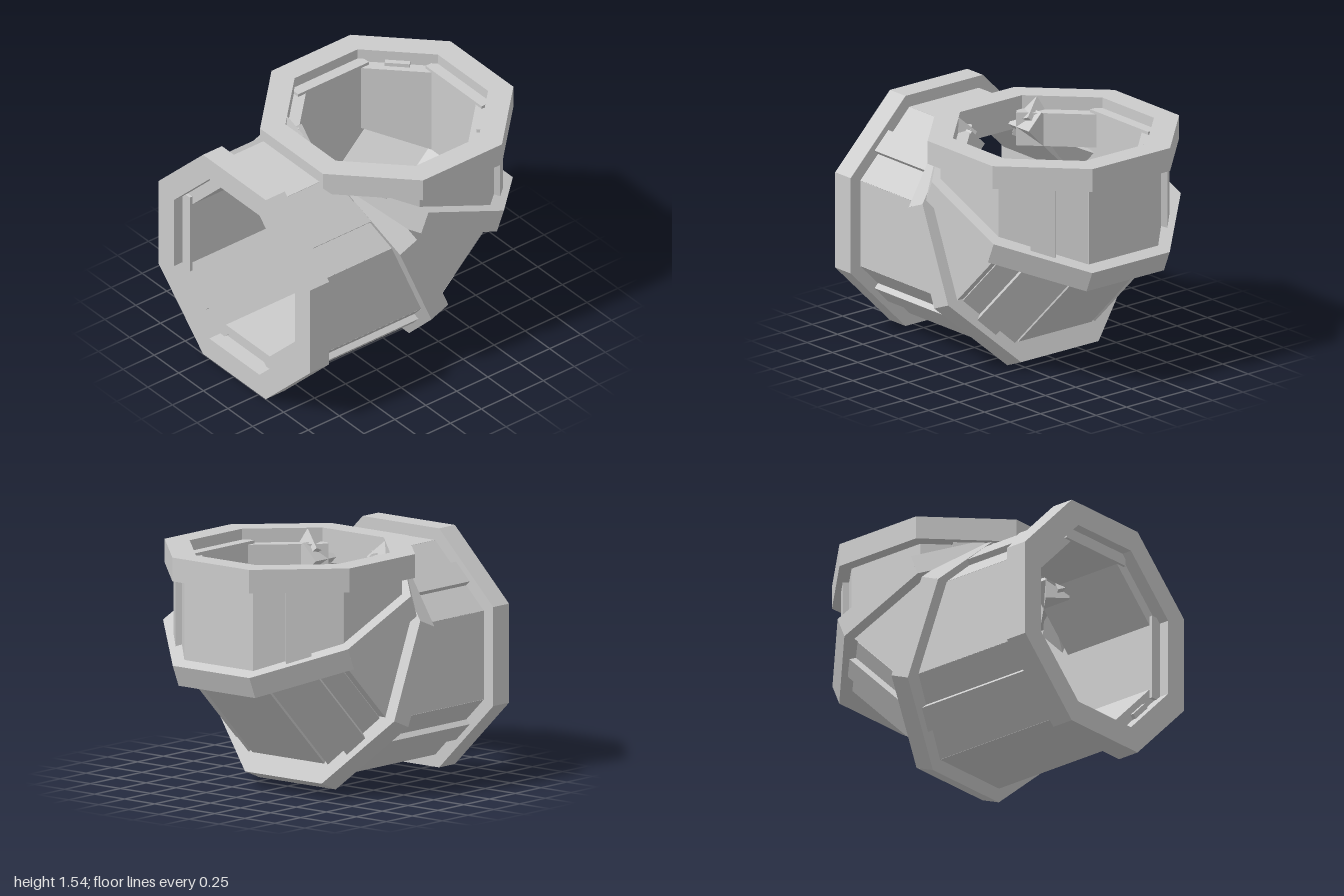
import * as THREE from 'three';

const material = new THREE.MeshStandardMaterial({ color: 0xcccccc, flatShading: true });
const MITER = Math.tan(Math.PI / 8);
const TOP = 2;    // side index facing the inside of the bend
const BOTTOM = 6; // side index facing the outside of the bend

function add(parent, geometry, name) {
  const mesh = new THREE.Mesh(geometry, material);
  mesh.name = name;
  parent.add(mesh);
  return mesh;
}

// A board on side k of the octagon, running between two end rules s(v)
function board(k, width, inner, outer, start, end) {
  const g = new THREE.BoxGeometry(outer - inner, width, 1);
  g.translate((inner + outer) / 2, 0, 0);
  g.rotateZ(k * Math.PI / 4);
  const p = g.attributes.position;
  for (let i = 0; i < p.count; i++) {
    const v = p.getY(i);
    const a = start(v), b = Math.min(end(v), a - 0.004);
    p.setZ(i, p.getZ(i) > 0 ? a : b);
  }
  g.computeVertexNormals();
  return g;
}

// Group whose local -z follows the pipe and local +y points into the bend
function frame(name, y, z, degrees) {
  const group = new THREE.Group();
  group.name = name;
  group.position.set(0, y, z);
  group.rotation.x = THREE.MathUtils.degToRad(degrees);
  return group;
}

const isUpperDiagonal = k => k === 1 || k === 3;
const legBoard = () => ({ width: 0.57, inner: 0.54, outer: 0.69 });

// Middle boards: wide sides, narrow diagonals, thin bottom
function middleBoard(k) {
  if (k === BOTTOM) return { width: 0.6, inner: 0.54, outer: 0.645 };
  if (k % 2) return { width: 0.45, inner: 0.56, outer: 0.69 };
  return { width: 0.636, inner: 0.54, outer: 0.69 };
}

// Straight pipe section: wall boards with a raised rib on each diagonal
function pipe(group, { size, start, end, skip = [], ribSkip = [], ribStart = start, ribEnd = end }) {
  for (let k = 0; k < 8; k++) {
    if (skip.includes(k)) continue;
    const { width, inner, outer } = size(k);
    add(group, board(k, width, inner, outer, v => start(v, k), v => end(v, k)), 'wallBoard');
    if (k % 2 && !ribSkip.includes(k)) {
      add(group, board(k, 0.16, 0.58, outer + 0.04, v => ribStart(v, k), v => ribEnd(v, k)), 'rib');
    }
  }
  return group;
}

function octagon(path, apothem) {
  const r = apothem / Math.cos(Math.PI / 8);
  for (let i = 0; i < 8; i++) {
    const a = (i + 0.5) * Math.PI / 4;
    path[i ? 'lineTo' : 'moveTo'](r * Math.cos(a), r * Math.sin(a));
  }
  path.closePath();
  return path;
}

// Octagonal end flange
function flange() {
  const shape = octagon(new THREE.Shape(), 0.769);
  shape.holes.push(octagon(new THREE.Path(), 0.615));
  return new THREE.ExtrudeGeometry(shape, { depth: 0.153, bevelEnabled: false });
}

// Collar over a mitred joint, open on the inside of the bend
function collar(group) {
  for (let k = 0; k < 8; k++) {
    if (k === TOP) continue;
    add(group, board(k, 0.638, 0.615, 0.77, () => 0.074, () => -0.074), 'collarBar');
  }
  group.scale.y = 1.035;
  return group;
}

export function createModel() {
  const model = new THREE.Group();
  model.name = 'elbowPipe';

  // End flanges
  const front = add(model, flange(), 'frontFlange');
  front.position.set(0, 0.77, 0.847);
  const top = add(model, flange(), 'topFlange');
  top.rotation.x = Math.PI / 2;
  top.position.set(0, 1.54, -0.23);

  // Horizontal section, its upper diagonal boards cut square
  const frontMiter = v => 0.08 + MITER * v;
  model.add(pipe(frame('frontSection', 0.77, 0, 0), {
    size: legBoard,
    start: (v, k) => k === BOTTOM ? 0.89 : k % 2 ? 0.91 : 0.93,
    end: (v, k) => k === TOP ? 0.43 : isUpperDiagonal(k) ? 0.23 : frontMiter(v),
    ribStart: (v, k) => isUpperDiagonal(k) ? 0.9 : 0.935,
    ribEnd: frontMiter,
  }));

  // Sloping section between the two joints
  model.add(pipe(frame('middleSection', 0.925, -0.075, 45), {
    size: middleBoard,
    start: v => 0.22 - MITER * v,
    end: v => -0.22 + MITER * v,
    skip: [TOP], ribSkip: [1, 3],
  }));

  // Upright section, its inner diagonal boards cut square
  const upperMiter = v => -1.08 - MITER * v;
  model.add(pipe(frame('upperSection', 0, -0.23, 90), {
    size: legBoard,
    start: (v, k) => isUpperDiagonal(k) ? -1.23 : upperMiter(v),
    end: (v, k) => k % 2 ? -1.45 : -1.47,
    skip: [TOP],
    ribStart: upperMiter,
    ribEnd: (v, k) => isUpperDiagonal(k) ? -1.44 : -1.475,
  }));

  // Joint collars
  model.add(collar(frame('lowerCollar', 0.77, 0.08, 22.5)));
  model.add(collar(frame('upperCollar', 1.08, -0.23, 67.5)));
  return model;
}
